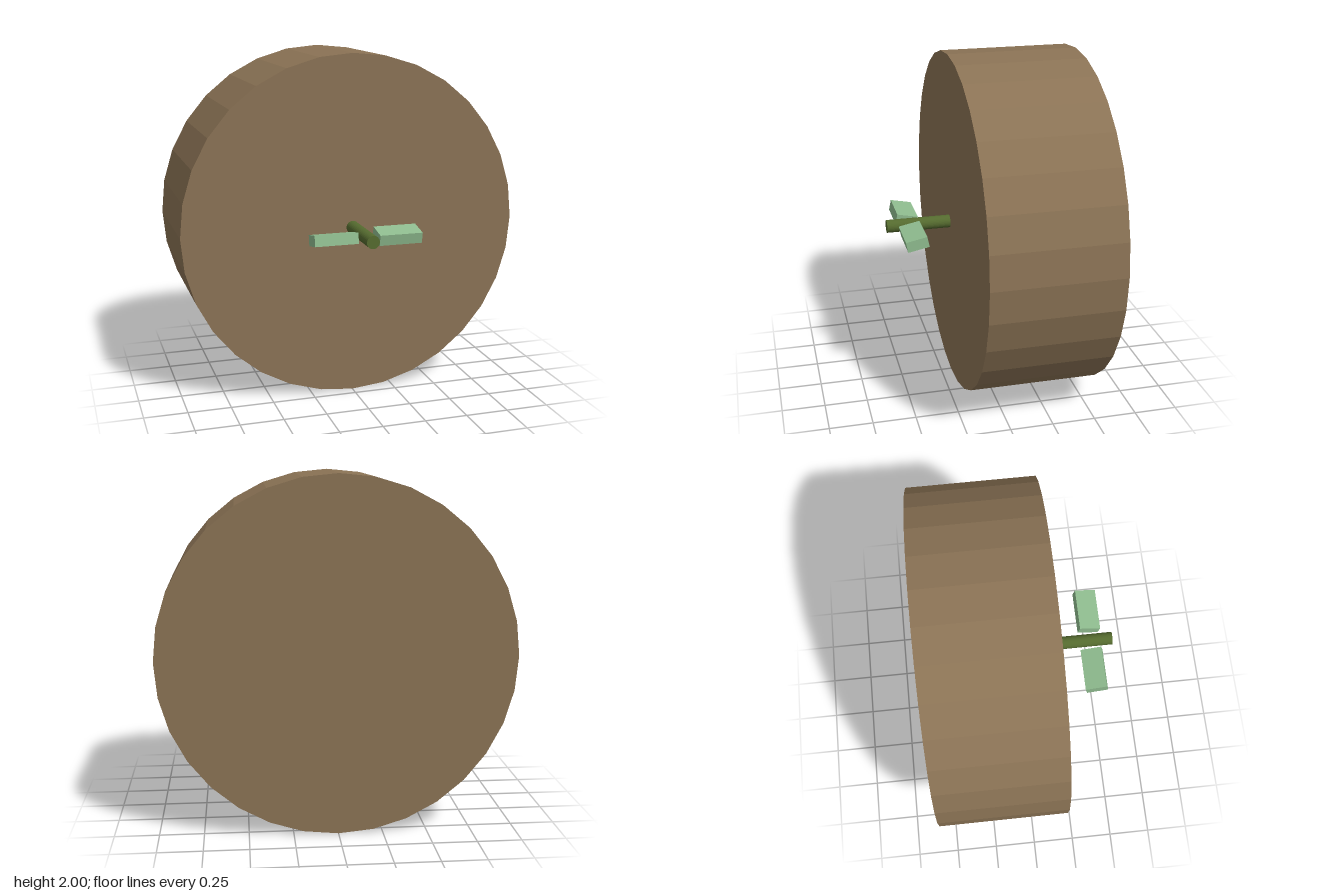
import * as THREE from 'three';

export function createModel() {
  const model = new THREE.Group();
  const material = (color) => new THREE.MeshStandardMaterial({ color, flatShading: true });

  const add = (name, geometry, mat, x, z) => {
    const mesh = new THREE.Mesh(geometry, mat);
    mesh.name = name;
    mesh.position.set(x, 1, z);
    model.add(mesh);
    return mesh;
  };

  // Cylinder lying along the z axis, between two depths
  const rod = (name, radius, back, front, mat) => add(
    name,
    new THREE.CylinderGeometry(radius, radius, front - back, 32).rotateX(Math.PI / 2),
    mat, 0, (back + front) / 2
  );

  // Pot lying on its side, with the stem growing out of its front face
  rod('pot', 1, -0.5625, 0.1875, material(0x8b7355));
  rod('stem', 0.0375, 0.1875, 0.5625, material(0x556b2f));

  // A pair of leaves tilted in opposite directions
  const leafMaterial = material(0x8fbc8f);
  for (const side of [1, -1]) {
    const leaf = add(side > 0 ? 'leftLeaf' : 'rightLeaf',
      new THREE.BoxGeometry(0.25, 0.0625, 0.125), leafMaterial, side * 0.1875, 0.4325);
    leaf.rotation.x = side * 0.2;
  }

  return model;
}
